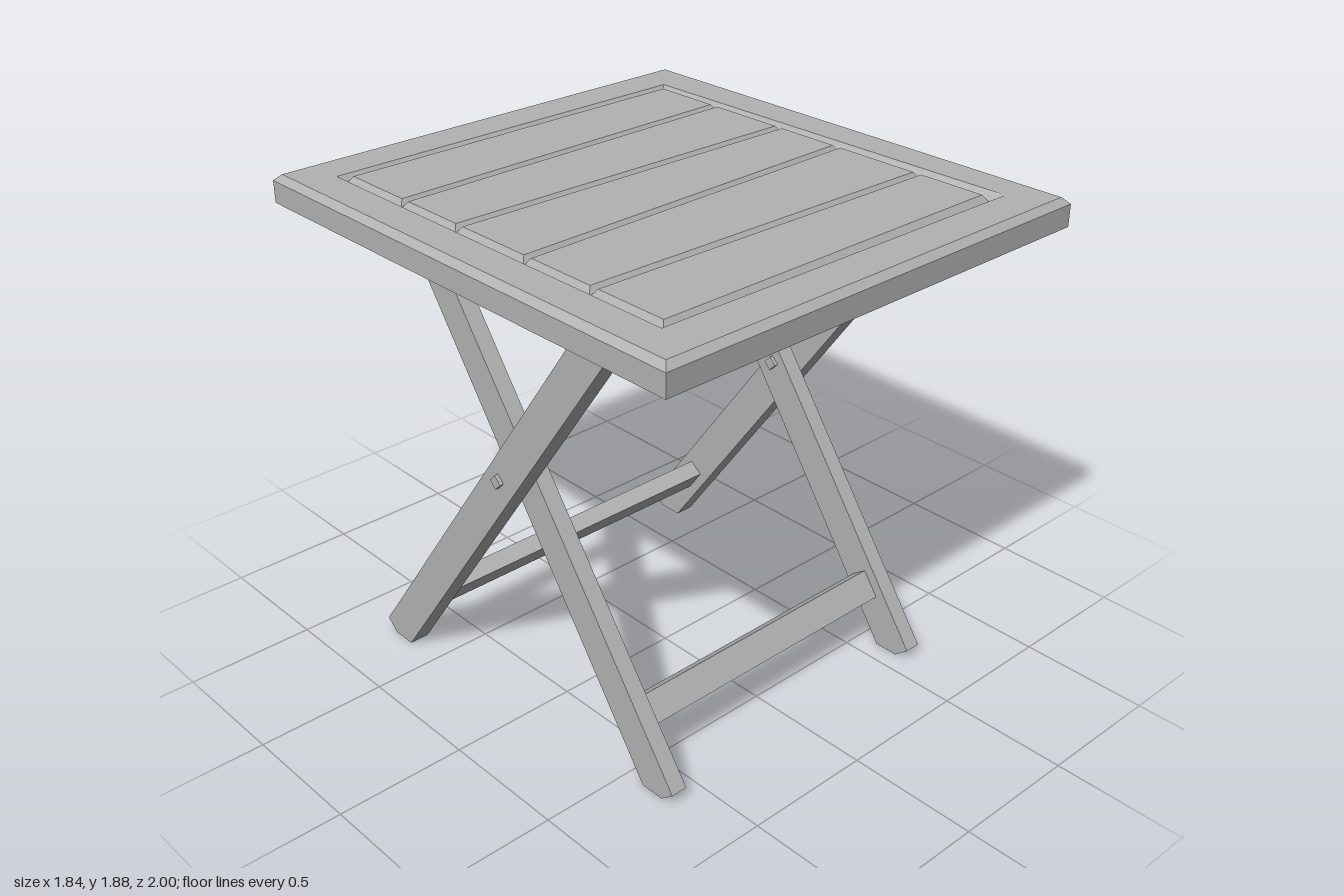
import * as THREE from 'three';

const wood = new THREE.MeshStandardMaterial({ color: 0xb2b2b2 });
wood.name = 'grey wood';

function add(group, name, geometry) {
  const mesh = new THREE.Mesh(geometry, wood);
  mesh.name = name;
  group.add(mesh);
  return mesh;
}

// Rectangular ring of corners, counter-clockwise from above
const rect = (x, z, y) => [[-x, y, z], [x, y, z], [x, y, -z], [-x, y, -z]];

// Joins four-cornered rings with flat faces; caps are optional
function loft(rings, capBottom, capTop) {
  const pos = [];
  const quad = (a, b, c, d) => pos.push(...a, ...b, ...c, ...a, ...c, ...d);
  for (let i = 0; i < rings.length - 1; i++) {
    for (let j = 0; j < 4; j++) {
      const k = (j + 1) % 4;
      quad(rings[i][j], rings[i][k], rings[i + 1][k], rings[i + 1][j]);
    }
  }
  const first = rings[0], last = rings[rings.length - 1];
  if (capBottom) quad(first[0], first[3], first[2], first[1]);
  if (capTop) quad(last[0], last[1], last[2], last[3]);
  const geo = new THREE.BufferGeometry();
  geo.setAttribute('position', new THREE.Float32BufferAttribute(pos, 3));
  geo.computeVertexNormals();
  return geo;
}

// Side profile of [z, y] points, extruded from x0 to x1
function sidePlate(points, x0, x1) {
  const shape = new THREE.Shape(points.map(([z, y]) => new THREE.Vector2(-z, y)));
  return new THREE.ExtrudeGeometry(shape, { depth: x1 - x0, bevelEnabled: false })
    .rotateY(Math.PI / 2)
    .translate(x0, 0, 0);
}

export function createModel() {
  const table = new THREE.Group();
  table.name = 'foldingTable';

  // Tabletop frame with chamfered rim and sloped inner edge
  const TOP = 1.875, GROOVE = 1.85;
  const opening = [[-0.77, TOP, 0.82], [0.775, TOP, 0.836], [0.757, TOP, -0.83], [-0.77, TOP, -0.83]];
  const floor = [[-0.745, GROOVE, 0.8], [0.738, GROOVE, 0.8], [0.738, GROOVE, -0.81], [-0.745, GROOVE, -0.81]];
  add(table, 'tabletopFrame', loft([
    rect(0.92, 1, 1.77), rect(0.92, 1, 1.852), rect(0.897, 0.975, TOP), opening, floor,
  ], true, false));

  // Five hand-cut slats separated by V grooves
  const leftZ = [-0.81, -0.486, -0.187, 0.163, 0.477, 0.8];
  const rightZ = [-0.81, -0.505, -0.162, 0.127, 0.502, 0.8];
  const slats = new THREE.Group();
  slats.name = 'slats';
  table.add(slats);
  const B = 0.018; // bevel width
  for (let i = 0; i < 5; i++) {
    const l0 = leftZ[i], l1 = leftZ[i + 1], r0 = rightZ[i], r1 = rightZ[i + 1];
    add(slats, 'slat', loft([
      [[-0.745, GROOVE, l1], [0.738, GROOVE, r1], [0.738, GROOVE, r0], [-0.745, GROOVE, l0]],
      [[-0.745 + B, TOP, l1 - B], [0.738 - B, TOP, r1 - B], [0.738 - B, TOP, r0 + B], [-0.745 + B, TOP, l0 + B]],
    ], false, true));
  }

  // Side profiles of rails and crossing legs
  const railProfile = [[0.85, 1.77], [0.85, 1.7], [0.795, 1.628], [-0.745, 1.632], [-0.82, 1.7], [-0.82, 1.77]];
  const outerProfile = [[0.46, 1.77], [0.565, 1.68], [-0.649, 0], [-0.745, 0], [-0.795, 0.045]];
  const innerProfile = [[-0.5, 1.77], [-0.6, 1.69], [0.585, 0], [0.68, 0], [0.735, 0.045]];

  for (const [side, s] of [['left', 1], ['right', -1]]) {
    const part = (name, profile, a, b) =>
      add(table, side + name, sidePlate(profile, Math.min(s * a, s * b), Math.max(s * a, s * b)));
    part('Rail', railProfile, 0.643, 0.688);
    part('OuterLeg', outerProfile, 0.672, 0.748);
    part('InnerLeg', innerProfile, 0.58, 0.645);

    // Square pivot pin, set on its corner
    const pin = add(table, side + 'PivotPin', new THREE.CylinderGeometry(0.028, 0.028, 0.197, 4).toNonIndexed());
    pin.geometry.computeVertexNormals();
    pin.rotation.z = Math.PI / 2;
    pin.position.set(s * 0.664, 1.002, -0.022);
  }

  // Stretchers tilted in line with their legs
  const LEAN = Math.atan2(1, 1.385);
  const stretcher = (name, width, z, tilt) => {
    const bar = add(table, name, new THREE.BoxGeometry(width, 0.111, 0.068));
    bar.position.set(0, 0.235, z);
    bar.rotation.x = tilt;
  };
  stretcher('frontStretcher', 1.17, 0.506, -LEAN);
  stretcher('backStretcher', 1.35, -0.568, LEAN);

  return table;
}
